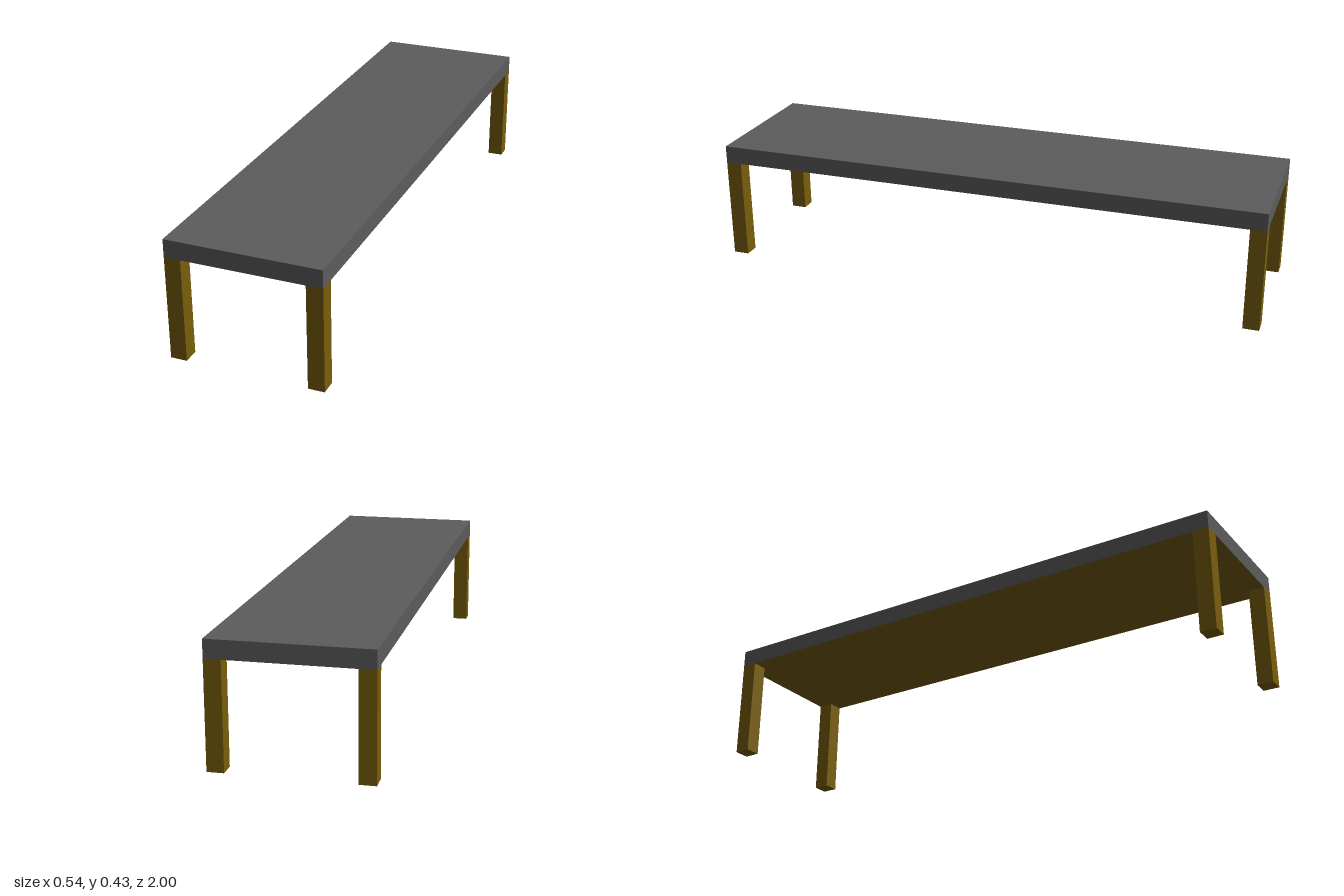
import * as THREE from 'three';

const WIDTH = 0.538, LENGTH = 2, HEIGHT = 0.429, LEG_HEIGHT = 0.366, LEG = 0.057;

export function createModel() {
  const group = new THREE.Group();
  group.name = 'bench';

  const grey = new THREE.MeshStandardMaterial({ name: 'grey top', color: 0x5c5c5c });
  const wood = new THREE.MeshStandardMaterial({ name: 'brown wood', color: 0x785e0b });

  // Slab: grey top and sides, wooden underside
  const thickness = HEIGHT - LEG_HEIGHT;
  const slab = new THREE.Mesh(
    new THREE.BoxGeometry(WIDTH, thickness, LENGTH),
    [grey, grey, grey, wood, grey, grey]
  );
  slab.name = 'benchTop';
  slab.position.y = LEG_HEIGHT + thickness / 2;
  group.add(slab);

  // Four square legs, flush with the corners
  const legGeometry = new THREE.BoxGeometry(LEG, LEG_HEIGHT, LEG);
  for (const [zName, sz] of [['front', 1], ['back', -1]]) {
    for (const [xName, sx] of [['Left', 1], ['Right', -1]]) {
      const leg = new THREE.Mesh(legGeometry, wood);
      leg.name = `${zName}${xName}Leg`;
      leg.position.set(sx * (WIDTH - LEG) / 2, LEG_HEIGHT / 2, sz * (LENGTH - LEG) / 2);
      group.add(leg);
    }
  }
  return group;
}
